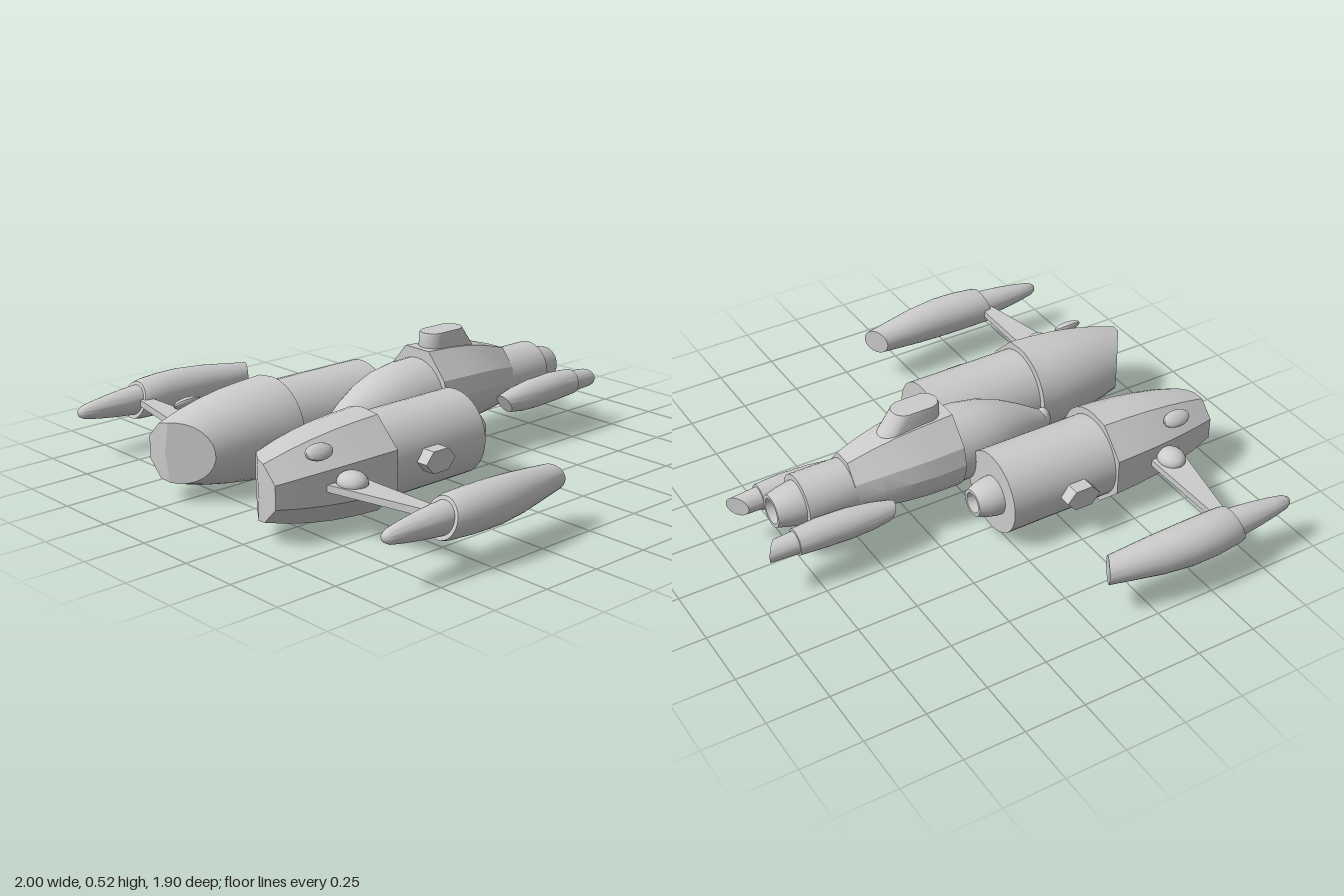
import * as THREE from 'three';
import { toCreasedNormals } from 'three/addons/utils/BufferGeometryUtils.js';

const material = new THREE.MeshStandardMaterial({ color: 0xcccccc });
const rad = THREE.MathUtils.degToRad;

function add(group, name, geometry, crease = 0.5) {
  const mesh = new THREE.Mesh(toCreasedNormals(geometry, crease), material);
  mesh.name = name;
  group.add(mesh);
  return mesh;
}

// Closed skin through rings of [x, y, z], ordered from back to front, with end caps
function loft(rings, frontCentre) {
  const n = rings[0].length, pos = [], index = [];
  rings.forEach(r => r.forEach(p => pos.push(...p)));
  for (let k = 0; k < rings.length - 1; k++) {
    for (let i = 0; i < n; i++) {
      const a = k * n + i, b = k * n + (i + 1) % n;
      index.push(a, b, b + n, a, b + n, a + n);
    }
  }
  const mean = r => [0, 1, 2].map(j => r.reduce((s, p) => s + p[j], 0) / n);
  const back = pos.length / 3, top = (rings.length - 1) * n;
  pos.push(...mean(rings[0]), ...(frontCentre || mean(rings.at(-1))));
  for (let i = 0; i < n; i++) {
    const j = (i + 1) % n;
    index.push(back, j, i, back + 1, top + i, top + j);
  }
  const g = new THREE.BufferGeometry();
  g.setAttribute('position', new THREE.Float32BufferAttribute(pos, 3));
  g.setIndex(index);
  return g;
}

// Circle in the xy plane; slant shifts z by the offset in x and y
function circle(cx, cy, r, z, slantX = 0, slantY = 0, n = 32) {
  return Array.from({ length: n }, (_, i) => {
    const a = i / n * Math.PI * 2, dx = r * Math.cos(a), dy = r * Math.sin(a);
    return [cx + dx, cy + dy, z + dx * slantX + dy * slantY];
  });
}

// Turned part along z from [radius, z] pairs, back to front
function turned(points, x, y) {
  const g = new THREE.LatheGeometry(points.map(p => new THREE.Vector2(...p)), 40);
  return g.rotateX(Math.PI / 2).translate(x, y, 0);
}

function ellipsoid(rx, ry, rz, x, y, z) {
  return new THREE.SphereGeometry(1, 24, 16).scale(rx, ry, rz).translate(x, y, z);
}

// Engine cowl: round inside, faceted outside, nose cut by a flat and a slanted plane
function cowl() {
  const cx = 0.267, cy = 0.2;
  const angles = [-67.5, -22.5, 22.5, 67.5];
  for (let a = 90; a <= 270; a += 12) angles.push(a);
  const profile = [[0.44, 0.197], [0.55, 0.191], [0.65, 0.182], [0.74, 0.168], [0.83, 0.15], [0.95, 0.115]];
  const radius = z => {
    const k = Math.max(1, profile.findIndex(p => p[0] >= z - 1e-6));
    const [z0, r0] = profile[k - 1], [z1, r1] = profile[k];
    return r0 + (r1 - r0) * (z - z0) / (z1 - z0);
  };
  const at = (deg, z) => {
    const f = deg < 80 ? 1.03 : 1;
    return [cx + f * radius(z) * Math.cos(rad(deg)), cy + f * radius(z) * Math.sin(rad(deg)), z];
  };
  const end = angles.map(a => {
    let z = 0.95;
    for (let i = 0; i < 8; i++) z = Math.min(0.95, 0.95 - 0.72 * (0.28 - at(a, z)[0]));
    return z;
  });
  const rings = [0, 0.2, 0.4, 0.6, 0.8, 1].map(t => angles.map((a, i) => at(a, 0.44 + t * (end[i] - 0.44))));
  return loft(rings, [0.28, cy, 0.95]);
}

// Everything on the model's left side
function createSide() {
  const side = new THREE.Group();

  add(side, 'engineBody', turned([[0, -0.03], [0.17, -0.03], [0.17, 0.46]], 0.27, 0.2));
  add(side, 'engineCowl', cowl(), 0.4);
  add(side, 'engineNozzle', turned([[0, -0.08], [0.035, -0.08], [0.042, -0.13], [0.055, -0.13],
    [0.07, -0.095], [0.08, -0.05], [0.08, -0.02]], 0.29, 0.2));

  // Hexagonal box on the engine flank
  const box = new THREE.CylinderGeometry(0.05, 0.05, 0.08, 6).rotateZ(Math.PI / 2);
  add(side, 'engineSideBox', box.scale(1, 1, 1.5).translate(0.45, 0.2, 0.255), 0.2);

  // Blister lying on the sloping cowl facet
  const blister = new THREE.SphereGeometry(1, 16, 10).scale(0.035, 0.02, 0.062);
  add(side, 'cowlBlister', blister.rotateZ(-0.75).translate(0.39, 0.33, 0.76));
  add(side, 'strutFairing', ellipsoid(0.062, 0.042, 0.055, 0.477, 0.22, 0.68));

  // Tapered strut to the outer pod
  const plan = new THREE.Shape([[0.42, -0.755], [0.9, -0.655], [0.9, -0.615], [0.42, -0.61]]
    .map(p => new THREE.Vector2(...p)));
  const strut = new THREE.ExtrudeGeometry(plan, { depth: 0.028, bevelEnabled: false });
  add(side, 'strut', strut.rotateX(-Math.PI / 2).translate(0, 0.186, 0));

  // Outer pod
  add(side, 'outerPod', loft([
    circle(0.882, 0.2, 0.052, 0.093, -0.55), circle(0.893, 0.2, 0.064, 0.19, -0.3),
    circle(0.905, 0.2, 0.077, 0.3, -0.1), circle(0.913, 0.2, 0.085, 0.42),
    circle(0.912, 0.2, 0.085, 0.53, 0, -0.15), circle(0.906, 0.2, 0.08, 0.63, 0, -0.3),
    circle(0.905, 0.2, 0.074, 0.655, 0, -0.3)]));
  add(side, 'outerPodNose', turned([[0.062, 0.6], [0.058, 0.68], [0.05, 0.76], [0.039, 0.84],
    [0.028, 0.9], [0.017, 0.92], [0, 0.925]], 0.905, 0.2), 0.8);

  // Small tail pod with a slanted exhaust
  add(side, 'tailPod', loft([
    circle(0.157, 0.21, 0.053, -0.825), circle(0.156, 0.21, 0.06, -0.72),
    circle(0.156, 0.205, 0.06, -0.6, 0, 0.1), circle(0.158, 0.2, 0.052, -0.5, 0, 0.25),
    circle(0.162, 0.197, 0.038, -0.425, 0, 0.55)]));
  add(side, 'tailPodExhaust', loft([
    circle(0.152, 0.205, 0.04, -0.918, -0.75), circle(0.156, 0.208, 0.046, -0.81)]));
  return side;
}

// Fuselage section: rounded belly, faceted roof
function hullRing(w, top, bottom, z) {
  const mid = bottom + (top - bottom) * 0.5, ring = [];
  for (let a = 180; a <= 360; a += 15) {
    ring.push([w * Math.cos(rad(a)), mid + (mid - bottom) * Math.sin(rad(a)), z]);
  }
  const h = top - mid;
  ring.push([w * 0.9, mid + h * 0.42, z], [w * 0.38, top, z], [-w * 0.38, top, z], [-w * 0.9, mid + h * 0.42, z]);
  return ring;
}

// Stadium outline for the dorsal turret, in x and -z
function stadium(r, front, back, height) {
  const ring = [];
  for (let i = 0; i < 24; i++) {
    const a = (i + 0.5) / 24 * Math.PI * 2;
    ring.push([r * Math.cos(a), r * Math.sin(a) + (i < 12 ? -back - r : -front + r), height]);
  }
  return ring;
}

export function createModel() {
  const model = new THREE.Group();
  model.name = 'spacecraft';

  const left = createSide();
  left.name = 'leftSide';
  const right = createSide();
  right.name = 'rightSide';
  right.scale.x = -1;
  model.add(left, right);

  // Nose cone drooping slightly toward its tip
  const nose = [[0.157, 0.27, -0.1], [0.154, 0.27, 0], [0.14, 0.268, 0.1], [0.115, 0.262, 0.19],
    [0.08, 0.25, 0.28], [0.045, 0.235, 0.36], [0.022, 0.225, 0.41]];
  add(model, 'noseCone', loft(nose.map(([r, y, z]) => circle(0, y, r, z))));
  add(model, 'noseSensor', ellipsoid(0.034, 0.055, 0.035, 0, 0.225, 0.38));

  // Main fuselage
  add(model, 'fuselage', loft([
    hullRing(0.11, 0.39, 0.145, -0.535), hullRing(0.14, 0.422, 0.132, -0.43),
    hullRing(0.163, 0.446, 0.12, -0.32), hullRing(0.173, 0.457, 0.113, -0.22),
    hullRing(0.174, 0.465, 0.11, -0.085)]), 0.35);
  add(model, 'tailBody', turned([[0, -0.735], [0.112, -0.735], [0.112, -0.5]], 0, 0.258));
  add(model, 'tailNozzle', turned([[0, -0.78], [0.045, -0.78], [0.052, -0.845], [0.066, -0.845],
    [0.078, -0.8], [0.088, -0.75], [0.09, -0.72]], 0, 0.258));

  // Dorsal turret: upright front, raked back
  const turret = loft([stadium(0.056, -0.12, -0.38, 0.43), stadium(0.056, -0.115, -0.36, 0.455),
    stadium(0.055, -0.115, -0.325, 0.505), stadium(0.052, -0.12, -0.315, 0.522)]);
  add(model, 'dorsalTurret', turret.rotateX(-Math.PI / 2));
  return model;
}
